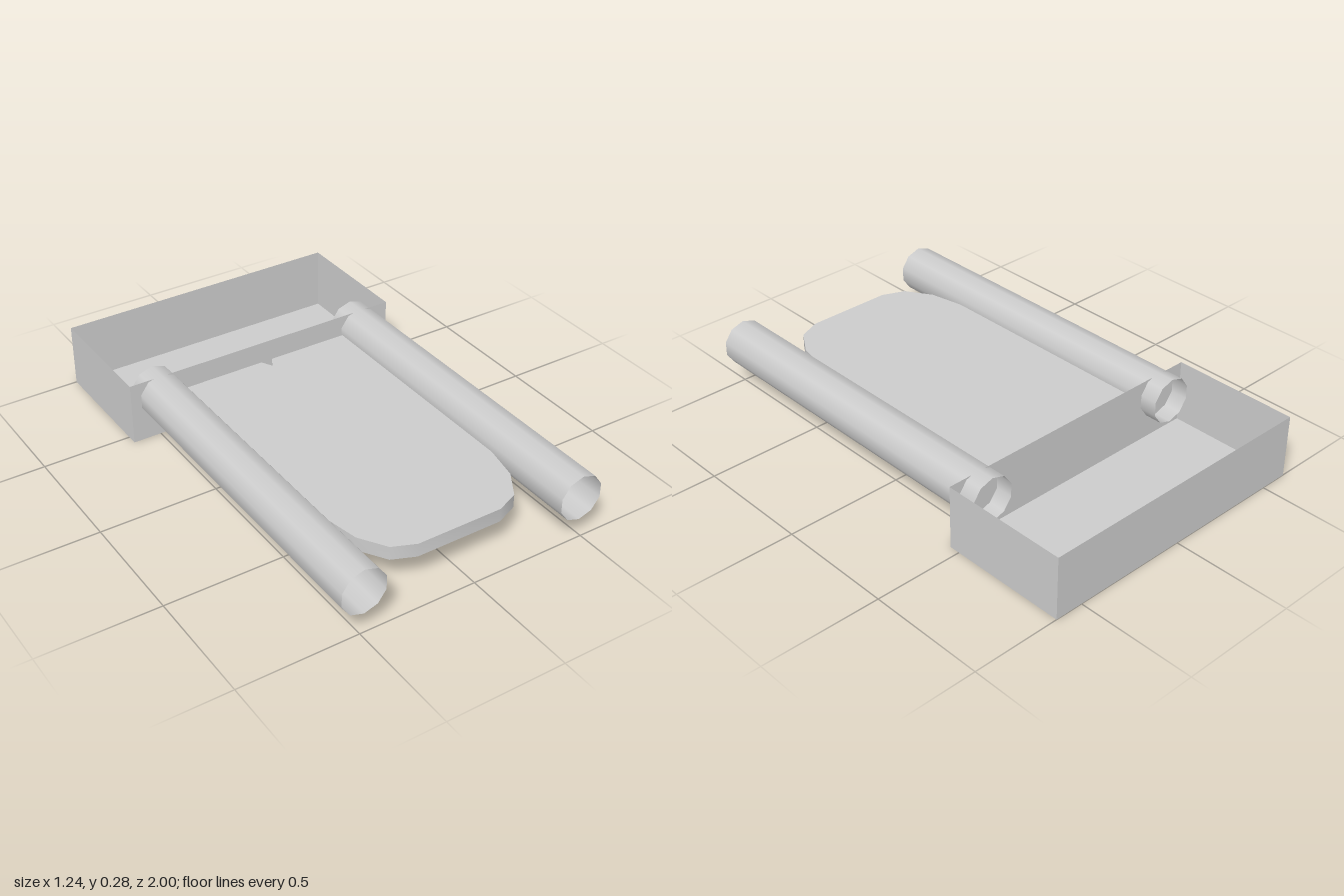
import * as THREE from 'three';
import { toCreasedNormals } from 'three/addons/utils/BufferGeometryUtils.js';

const material = new THREE.MeshStandardMaterial({ color: 0xcccccc, side: THREE.DoubleSide });

function add(group, name, geometry, x = 0, y = 0, z = 0) {
  const mesh = new THREE.Mesh(geometry, material);
  mesh.name = name;
  mesh.position.set(x, y, z);
  group.add(mesh);
  return mesh;
}

const toShape = (points) => new THREE.Shape(points.map(([x, z]) => new THREE.Vector2(x, z)));
const mirror = (points) => points.map(([x, z]) => [-x, z]).reverse();

export function createModel() {
  const model = new THREE.Group();
  model.name = 'model';

  // Thin-walled tray, open at the top (third face of the box dropped)
  const tray = new THREE.BoxGeometry(1.244, 0.27, 0.545);
  const index = Array.from(tray.index.array);
  index.splice(12, 6);
  tray.setIndex(index);
  tray.clearGroups();
  add(model, 'openTray', tray, 0, 0.135, -0.7275);

  // Open ten-sided side tubes running through the tray's front wall
  for (const side of [1, -1]) {
    const tube = new THREE.CylinderGeometry(0.0975, 0.0975, 1.53, 10, 1, true);
    tube.rotateX(Math.PI / 2);
    add(model, side > 0 ? 'leftTube' : 'rightTube', tube, side * 0.483, 0.1825, 0.235);
  }

  // Tongue outline: rounded front end, small V notch at the back
  const half = [[0.025, -0.433], [0.38, -0.433], [0.38, 0.6], [0.35, 0.75], [0.28, 0.86], [0.185, 0.9]];
  const outline = toShape([[0, -0.385], ...half, ...mirror(half)]);

  // Two pockets underneath, leaving a rim and a centre rib
  const pocket = [[0.03, -0.38], [0.33, -0.38], [0.33, 0.59], [0.305, 0.72], [0.245, 0.82], [0.17, 0.85], [0.03, 0.85]];
  const pockets = [toShape(pocket), toShape(mirror(pocket))];
  outline.holes.push(...pockets);

  const tongue = new THREE.Group();
  tongue.name = 'tongue';
  tongue.position.y = 0.193;
  model.add(tongue);

  const frame = new THREE.ExtrudeGeometry(outline, { depth: 0.058, bevelEnabled: false });
  frame.rotateX(Math.PI / 2);
  add(tongue, 'tongueRimAndRib', toCreasedNormals(frame, 0.7));

  // Thin skin closing the pockets at the top
  pockets.forEach((shape, i) => {
    const skin = new THREE.ShapeGeometry(shape);
    // Flip so the front of the skin faces up
    skin.rotateX(Math.PI / 2);
    skin.setIndex(Array.from(skin.index.array).reverse());
    skin.computeVertexNormals();
    add(tongue, i === 0 ? 'leftTongueSkin' : 'rightTongueSkin', skin);
  });

  return model;
}
